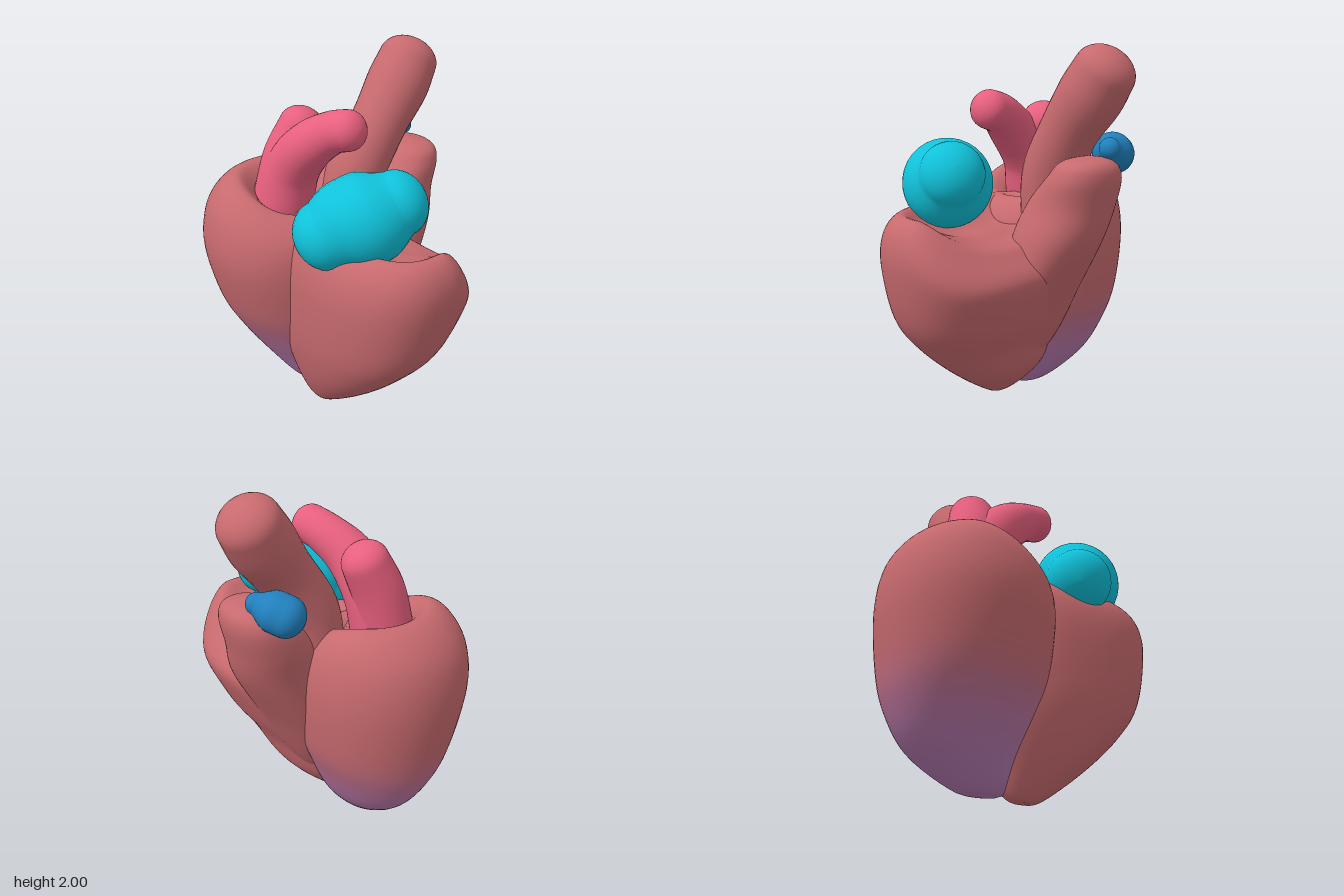
import * as THREE from 'three';

const FLESH = 0xc76a6e, APEX = 0xb278ae;
const smooth = THREE.MathUtils.smoothstep;

// Closed skin over rings of points: point(i, j) gives ring i, step j
function skin(rings, steps, point) {
  const pos = [], idx = [];
  for (let i = 0; i <= rings; i++) {
    for (let j = 0; j < steps; j++) pos.push(...point(i, j).toArray());
  }
  for (let i = 0; i < rings; i++) {
    for (let j = 0; j < steps; j++) {
      const k = (j + 1) % steps;
      const a = i * steps + j, b = a + steps, c = (i + 1) * steps + k, d = i * steps + k;
      idx.push(a, b, c, a, c, d);
    }
  }
  const geo = new THREE.BufferGeometry();
  geo.setAttribute('position', new THREE.Float32BufferAttribute(pos, 3));
  geo.setIndex(idx);
  geo.computeVertexNormals();
  return geo;
}

// Horizontal sections [y, xMin, xMax, zMin, zMax] smoothed into one lobe
function lobe(rows, power, warp = (p) => p, rings = 60, steps = 64) {
  const curve = (f) => new THREE.CatmullRomCurve3(rows.map(f), false, 'catmullrom', 0.5);
  const xs = curve((r) => new THREE.Vector3(r[0], r[1], r[2]));
  const zs = curve((r) => new THREE.Vector3(r[0], r[3], r[4]));
  const round = (v) => Math.sign(v) * Math.abs(v) ** (2 / power);
  return skin(rings, steps, (i, j) => {
    const a = (j / steps) * Math.PI * 2;
    const X = xs.getPoint(i / rings), Z = zs.getPoint(i / rings);
    return warp(new THREE.Vector3(
      (X.y + X.z) / 2 + (round(Math.cos(a)) * (X.z - X.y)) / 2,
      Math.max(0, X.x),
      (Z.y + Z.z) / 2 + (round(Math.sin(a)) * (Z.z - Z.y)) / 2));
  });
}

// Vessel along points [x, y, z, radius] with rounded ends
function vessel(points, capLength = 1, steps = 32) {
  const path = new THREE.CatmullRomCurve3(points.map((p) => new THREE.Vector3(p[0], p[1], p[2])));
  const radii = new THREE.CatmullRomCurve3(points.map((p, i) => new THREE.Vector3(i, p[3], 0)),
    false, 'catmullrom', 0.5);
  const n = 24, cap = 8;
  const frames = path.computeFrenetFrames(n);
  return skin(n + 2 * cap, steps, (i, j) => {
    const k = THREE.MathUtils.clamp(i - cap, 0, n);
    const over = (i - cap - k) / cap;
    const t = path.getUtoTmapping(k / n);
    const r = radii.getPoint(t).y;
    const bend = (over * Math.PI) / 2, a = (j / steps) * Math.PI * 2;
    return path.getPoint(t)
      .addScaledVector(frames.tangents[k], Math.sin(bend) * r * capLength)
      .addScaledVector(frames.normals[k], Math.cos(a) * r * Math.cos(bend))
      .addScaledVector(frames.binormals[k], -Math.sin(a) * r * Math.cos(bend));
  });
}

export function createModel() {
  const model = new THREE.Group();
  model.name = 'heart';
  const add = (name, geo, color, parent = model) => {
    const mesh = new THREE.Mesh(geo, new THREE.MeshStandardMaterial({ color }));
    mesh.name = name;
    parent.add(mesh);
    return mesh;
  };

  // Rear ventricle: rounded bowl with a sunken top, lower towards the front
  const rearRows = [
    [0.02, -0.15, -0.15, -0.24, -0.24],
    [0.04, -0.22, -0.06, -0.37, -0.1],
    [0.2, -0.34, 0.08, -0.6, -0.02],
    [0.4, -0.47, 0.18, -0.72, 0.04],
    [0.6, -0.57, 0.25, -0.77, 0.08],
    [0.9, -0.64, 0.28, -0.8, 0.1],
    [1.12, -0.62, 0.26, -0.77, 0.09],
    [1.26, -0.55, 0.2, -0.68, 0.04],
    [1.32, -0.46, 0.12, -0.57, -0.03],
    [1.26, -0.39, 0.04, -0.48, -0.1],
    [1.16, -0.32, -0.04, -0.42, -0.18],
    [1.14, -0.18, -0.18, -0.3, -0.3],
  ];
  const rear = add('rearVentricle', lobe(rearRows, 2.1, (p) => {
    p.y -= 0.17 * (p.y / 1.3) ** 3 * smooth(p.z, -0.5, 0.1);
    return p;
  }), FLESH);

  // Violet tint fading upward from the rear apex, ring by ring
  const tinted = 24, ringSize = 64 * 6;
  rear.material = [];
  for (let i = 0; i <= tinted; i++) {
    const color = new THREE.Color(APEX).lerp(new THREE.Color(FLESH), smooth(i, 9, tinted));
    rear.material.push(new THREE.MeshStandardMaterial({ color }));
    rear.geometry.addGroup(i * ringSize, i < tinted ? ringSize : Infinity, i);
  }

  // Front ventricle: raised rim at the front, sloping down on the left
  const frontRows = [
    [0, -0.18, -0.18, 0, 0],
    [0.02, -0.24, -0.12, -0.1, 0.09],
    [0.2, -0.33, 0.08, -0.2, 0.35],
    [0.4, -0.39, 0.17, -0.28, 0.57],
    [0.6, -0.42, 0.27, -0.3, 0.72],
    [0.9, -0.43, 0.36, -0.3, 0.8],
    [1.08, -0.39, 0.34, -0.28, 0.79],
    [1.17, -0.3, 0.26, -0.2, 0.71],
    [1.1, -0.22, 0.18, -0.1, 0.6],
    [1.04, -0.12, 0.1, 0.05, 0.42],
    [1.04, 0, 0, 0.2, 0.2],
  ];
  add('frontVentricle', lobe(frontRows, 2.4, (p) => {
    p.y -= 0.24 * (p.y / 1.17) ** 3 * smooth(p.x, 0.02, 0.36);
    return p;
  }), FLESH);

  // Left shoulder rising beside the great vessel
  add('leftShoulder', lobe([
    [0.15, 0, 0, -0.04, -0.04],
    [0.4, -0.1, 0.17, -0.2, 0.15],
    [0.7, 0, 0.33, -0.24, 0.24],
    [1.0, 0.04, 0.5, -0.25, 0.22],
    [1.2, 0.12, 0.56, -0.27, 0.17],
    [1.35, 0.26, 0.59, -0.25, 0.15],
    [1.43, 0.34, 0.56, -0.18, 0.1],
    [1.46, 0.45, 0.45, -0.05, -0.05],
  ], 2.2), FLESH);

  // Great vessel leaning up to the left
  add('greatVessel', vessel([
    [0.1, 1.08, -0.13, 0.16], [0.14, 1.32, -0.11, 0.165], [0.28, 1.57, -0.09, 0.155],
    [0.41, 1.75, -0.1, 0.17], [0.49, 1.87, -0.11, 0.16],
  ], 0.75), FLESH);

  // Forked pink vessel: one arm forward, one at the back
  const fork = new THREE.Group();
  fork.name = 'forkedVessel';
  model.add(fork);
  const PINK = 0xe8607f;
  add('frontArm', vessel([
    [-0.21, 1.16, -0.3, 0.16], [-0.19, 1.35, -0.25, 0.15], [-0.17, 1.53, -0.1, 0.13],
    [-0.12, 1.63, 0.04, 0.11], [-0.1, 1.66, 0.13, 0.105],
  ], 0.85), PINK, fork);
  add('backArm', vessel([
    [-0.22, 1.17, -0.33, 0.15], [-0.17, 1.4, -0.31, 0.14], [-0.1, 1.57, -0.28, 0.125],
  ], 0.85), PINK, fork);

  // Rounded chamber at the front
  add('frontChamber', vessel([
    [-0.34, 1.2, 0.25, 0.18], [-0.25, 1.25, 0.3, 0.225], [-0.14, 1.3, 0.38, 0.235],
    [-0.03, 1.36, 0.44, 0.17],
  ], 0.85), 0x10c2da);

  // Small pointed chamber behind the left shoulder
  add('sideChamber', vessel([
    [0.5, 1.49, -0.15, 0.055], [0.46, 1.465, -0.21, 0.1], [0.42, 1.44, -0.28, 0.105],
  ], 0.9), 0x2180bd);

  return model;
}
